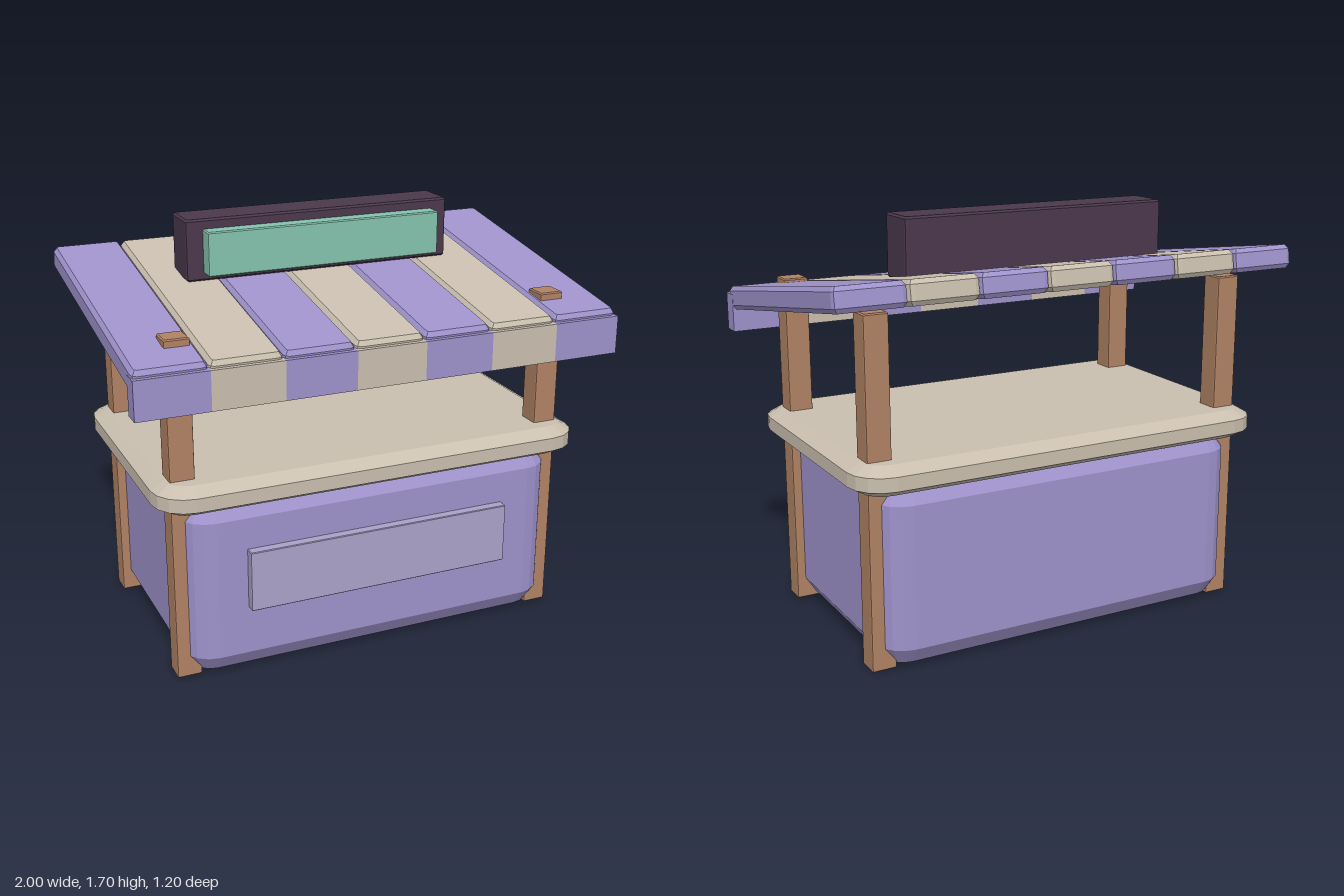
import * as THREE from 'three';

const mat = (name, color) => {
  const m = new THREE.MeshStandardMaterial({ color });
  m.name = name;
  return m;
};

// Block with rounded plan corners (radius r) and chamfered top and bottom rims
function block(w, h, d, r, inset, rise, segments = 1) {
  const x = w / 2, y = d / 2, s = new THREE.Shape();
  s.moveTo(-x + r, -y);
  s.lineTo(x - r, -y);
  s.absarc(x - r, -y + r, r, -Math.PI / 2, 0);
  s.lineTo(x, y - r);
  s.absarc(x - r, y - r, r, 0, Math.PI / 2);
  s.lineTo(-x + r, y);
  s.absarc(-x + r, y - r, r, Math.PI / 2, Math.PI);
  s.lineTo(-x, -y + r);
  s.absarc(-x + r, -y + r, r, Math.PI, Math.PI * 1.5);
  const depth = h - 2 * rise;
  const g = new THREE.ExtrudeGeometry(s, {
    depth, curveSegments: segments, bevelSegments: 1,
    bevelSize: inset, bevelThickness: rise, bevelOffset: -inset,
  });
  return g.translate(0, 0, -depth / 2).rotateX(-Math.PI / 2);
}

export function createModel() {
  const purple = mat('purple paint', 0x9f93cc);
  const cream = mat('cream paint', 0xcabfaf);
  const wood = mat('post wood', 0xb08264);
  const dark = mat('dark sign frame', 0x4b384c);
  const teal = mat('teal sign face', 0x85c4ae);
  const lilac = mat('lilac panel', 0xaba2c9);

  const model = new THREE.Group();
  model.name = 'marketStall';
  const add = (name, geometry, material, x, y, z, parent = model) => {
    const mesh = new THREE.Mesh(geometry, material);
    mesh.name = name;
    mesh.position.set(x, y, z);
    parent.add(mesh);
    return mesh;
  };

  // Base cabinet, its front panel and the counter
  add('cabinet', block(1.6, 0.72, 1.03, 0.12, 0.045, 0.07, 2), purple, 0, 0.38, -0.01);
  add('frontPanel', block(1.116, 0.25, 0.06, 0.005, 0.003, 0.003), lilac, 0, 0.415, 0.515);
  add('counter', block(1.81, 0.12, 1.125, 0.14, 0.055, 0.032, 2), cream, 0, 0.78, -0.008);

  // Four posts, the front pair poking through the roof
  const postGeometry = block(0.1, 1.395, 0.097, 0.006, 0.005, 0.005);
  for (const x of [-0.787, 0.787]) {
    add('frontPost', postGeometry, wood, x, 0.6975, 0.394);
    add('backPost', postGeometry, wood, x, 0.6975, -0.413);
  }

  // Sloping roof of striped planks
  const roof = new THREE.Group();
  roof.name = 'roof';
  roof.position.set(0, 1.388, -0.005);
  roof.rotation.x = Math.atan(0.16);
  model.add(roof);

  const count = 7, pitch = 2 / count;
  const plank = block(pitch - 0.002, 0.096, 1.19, 0.022, 0.014, 0.018);
  const flap = new THREE.BoxGeometry(pitch, 0.155, 0.075);
  for (let i = 0; i < count; i++) {
    const x = (i - (count - 1) / 2) * pitch;
    const paint = i % 2 ? cream : purple;
    add('roofPlank', plank, paint, x, 0, 0, roof);
    add('valanceFlap', flap, paint, x, 1.2385, 0.5675);
  }

  // Sign standing on the roof
  add('signFrame', block(1.15, 0.25, 0.176, 0.01, 0.008, 0.008), dark, 0, 1.575, -0.173);
  add('signFace', block(1.01, 0.18, 0.08, 0.006, 0.005, 0.005), teal, 0, 1.57, -0.058);

  return model;
}
